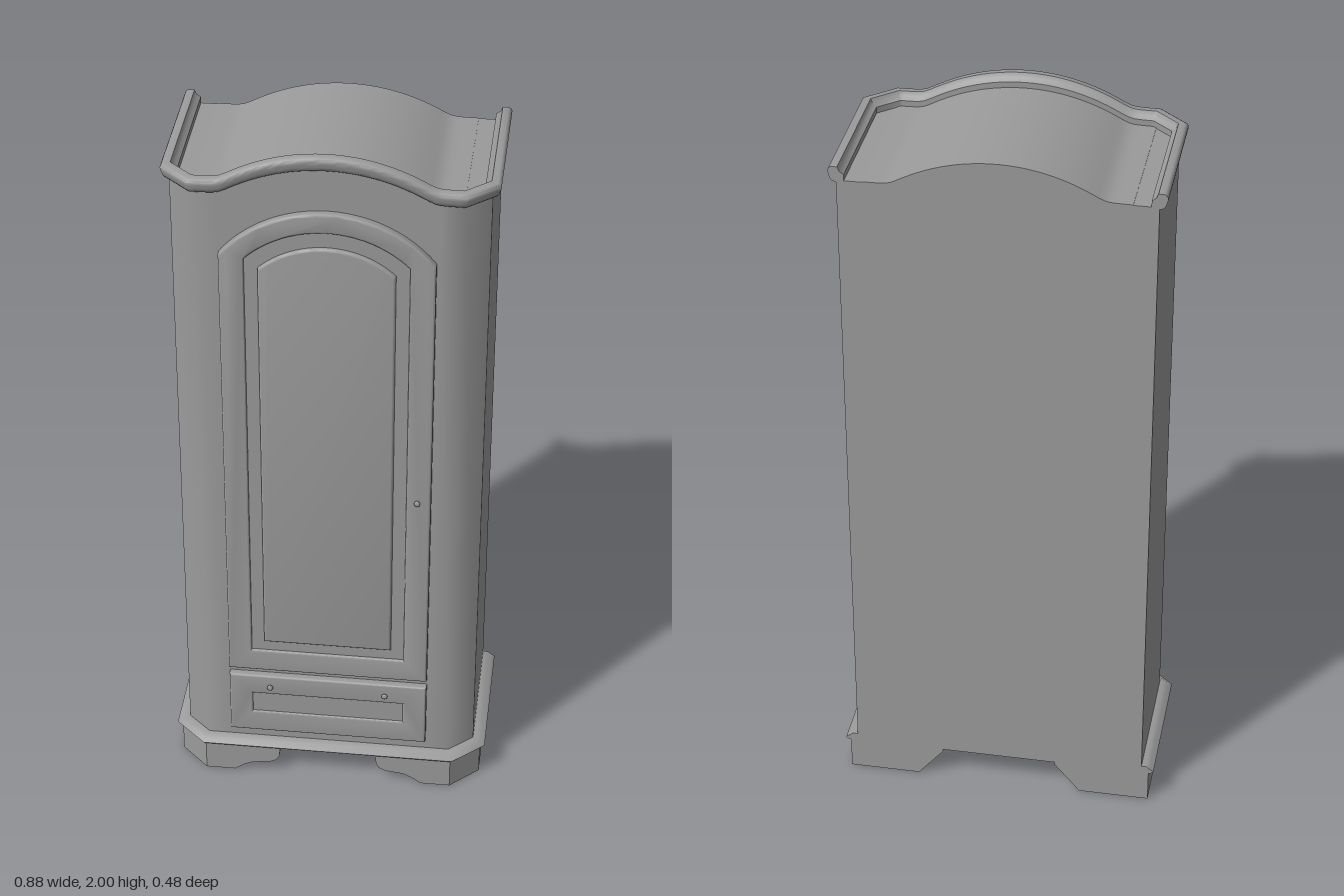
import * as THREE from 'three';
import { toCreasedNormals } from 'three/addons/utils/BufferGeometryUtils.js';

const BACK = -0.24;
const material = new THREE.MeshStandardMaterial({ color: 0x9b9b9b });

function addMesh(parent, name, geometry, crease = 0.6) {
  const mesh = new THREE.Mesh(toCreasedNormals(geometry, crease), material);
  mesh.name = name;
  parent.add(mesh);
  return mesh;
}

// Height of the bonnet arch above the level sides
const ARCH_R = 0.496;
function lift(x) {
  const a = Math.sqrt(Math.max(0, ARCH_R * ARCH_R - x * x)) - ARCH_R + 0.08;
  return (a + Math.sqrt(a * a + 0.00008)) / 2;
}

// Plan outline with chamfered front corners: left back, round the front, right back
function outline(sideX, sideZ, frontX, frontZ, frontXs) {
  return [
    [-sideX, BACK], [-sideX, sideZ], [-frontX, frontZ],
    ...frontXs.map((x) => [x, frontZ]),
    [frontX, frontZ], [sideX, sideZ], [sideX, BACK],
  ];
}

// Sweep a closed profile [outward, y] along a plan outline, mitred, with end caps
function sweep(path, profileAt) {
  const normals = path.slice(1).map(([x, z], i) => {
    const dx = x - path[i][0], dz = z - path[i][1], l = Math.hypot(dx, dz);
    return [-dz / l, dx / l];
  });
  const pos = [], index = [];
  let n = 0, cap;
  path.forEach(([x, z], i) => {
    const a = normals[Math.max(0, i - 1)];
    const b = normals[Math.min(normals.length - 1, i)];
    const k = 1 + a[0] * b[0] + a[1] * b[1];
    const profile = profileAt(x);
    n = profile.length;
    if (i === 0) {
      cap = THREE.ShapeUtils.triangulateShape(profile.map((p) => new THREE.Vector2(...p)), []);
    }
    for (const [o, y] of profile) pos.push(x + (o * (a[0] + b[0])) / k, y, z + (o * (a[1] + b[1])) / k);
  });
  const last = (path.length - 1) * n;
  for (let r = 0; r < last; r += n) {
    for (let j = 0; j < n; j++) {
      const k = (j + 1) % n;
      index.push(r + j, r + n + j, r + n + k, r + j, r + n + k, r + k);
    }
  }
  for (const [a, b, c] of cap) index.push(a, b, c, last + a, last + c, last + b);
  const g = new THREE.BufferGeometry();
  g.setAttribute('position', new THREE.Float32BufferAttribute(pos, 3));
  g.setIndex(index);
  return g;
}

function polygon(points) {
  return new THREE.Shape(points.map((p) => new THREE.Vector2(...p)));
}

// Rectangle with a round-arched head, all arches sharing one centre
function archShape(halfW, bottom, top) {
  const cy = 1.492, r = top - cy, a = Math.acos(halfW / r);
  const pts = [[-halfW, bottom], [halfW, bottom]];
  for (let i = 0; i <= 24; i++) {
    const t = a + ((Math.PI - 2 * a) * i) / 24;
    pts.push([r * Math.cos(t), cy + r * Math.sin(t)]);
  }
  return polygon(pts);
}

function rectShape(w, y0, y1) {
  return polygon([[-w, y0], [w, y0], [w, y1], [-w, y1]]);
}

// Board lying between two depths with a softly bevelled front edge
function board(shape, z0, z1, bevel) {
  const g = new THREE.ExtrudeGeometry(shape, {
    depth: z1 - z0 - bevel, bevelEnabled: bevel > 0, bevelSize: bevel,
    bevelOffset: -bevel, bevelThickness: bevel, bevelSegments: 3,
  });
  return g.translate(0, 0, z0);
}

function addKnob(parent, name, x, y) {
  const pts = [[0, 0], [0.003, 0], [0.003, 0.01], [0.008, 0.014], [0.008, 0.018], [0.005, 0.021], [0, 0.022]];
  const g = new THREE.LatheGeometry(pts.map((p) => new THREE.Vector2(...p)), 16);
  g.rotateX(Math.PI / 2);
  addMesh(parent, name, g, 0.9).position.set(x, y, 0.218);
}

export function createModel() {
  const model = new THREE.Group();
  model.name = 'wardrobe';

  // Carcass with chamfered corners that shade softly into the front
  const plan = polygon(outline(0.405, 0.145, 0.34, 0.205, [-0.28, 0.28]).map(([x, z]) => [x, -z]));
  const carcass = new THREE.ExtrudeGeometry(plan, { depth: 1.79, bevelEnabled: false });
  carcass.rotateX(-Math.PI / 2).translate(0, 0.093, 0);
  addMesh(model, 'carcass', carcass, 0.78);

  // Arched roof
  const roofPts = [[-0.34, 1.883], [0.34, 1.883]];
  for (let i = 0; i <= 48; i++) {
    const x = 0.34 - (0.68 * i) / 48;
    roofPts.push([x, 1.884 + lift(x)]);
  }
  addMesh(model, 'roof', board(polygon(roofPts), BACK, 0.205, 0));

  // Crown moulding rising over the arch
  const steps = Array.from({ length: 47 }, (_, i) => -0.34 + (0.68 * (i + 1)) / 48);
  const crown = [
    [-0.02, 1.875], [0, 1.878], [0.01, 1.88], [0.015, 1.886], [0.017, 1.893],
    [0.02, 1.902], [0.021, 1.91], [0.018, 1.916], [0.012, 1.92], [-0.004, 1.92], [-0.009, 1.908], [-0.02, 1.9],
  ];
  const crownPath = outline(0.405, 0.145, 0.34, 0.205, steps);
  addMesh(model, 'crownMoulding', sweep(crownPath, (x) => crown.map(([o, y]) => [o, y + lift(x)])), 0.75);

  // Plinth whose front is cut into two scrolled bracket feet
  const foot = [[0.265, 0], [0.24, 0.018], [0.215, 0.03], [0.165, 0.036], [0.147, 0.045], [0.138, 0.06], [0.135, 0.09]];
  const footXs = [...foot.map((p) => -p[0]), ...foot.map((p) => p[0]).reverse()];
  const plinthPath = outline(0.425, 0.153, 0.347, 0.228, footXs);
  const footY = (x) => (foot.find((p) => p[0] === Math.abs(x)) || [0, 0])[1];
  addMesh(model, 'plinth', sweep(plinthPath, (x) => [
    [-0.02, footY(x)], [0, footY(x)], [0, 0.097], [-0.02, 0.097],
  ]), 0.7);

  // Moulding on top of the plinth
  const rim = [[-0.03, 0.092], [0.004, 0.092], [0.011, 0.095], [0.014, 0.099], [0.011, 0.103], [0.003, 0.107], [-0.006, 0.115], [-0.03, 0.115]];
  addMesh(model, 'plinthMoulding', sweep(outline(0.425, 0.153, 0.347, 0.225, []), () => rim), 0.75);

  // Back feet continuing the back panel
  for (const s of [-1, 1]) {
    const pts = [[0.41, 0], [0.41, 0.095], [0.16, 0.095], [0.16, 0.085], [0.23, 0]].map(([x, y]) => [s * x, y]);
    addMesh(model, s > 0 ? 'leftBackFoot' : 'rightBackFoot', board(polygon(pts), BACK, BACK + 0.02, 0));
  }

  // Arched door: frame, raised panel and knob
  const door = new THREE.Group();
  door.name = 'door';
  const frame = archShape(0.275, 0.37, 1.842);
  frame.holes.push(archShape(0.21, 0.44, 1.787));
  addMesh(door, 'doorFrame', board(frame, 0.2, 0.226, 0.006));
  addMesh(door, 'doorPanel', board(archShape(0.213, 0.437, 1.79), 0.2, 0.219, 0));
  addMesh(door, 'raisedPanel', board(archShape(0.175, 0.475, 1.745), 0.2, 0.23, 0.007));
  addKnob(door, 'doorKnob', 0.24, 0.985);
  model.add(door);

  // Drawer: front with a sunk panel and two knobs
  const drawer = new THREE.Group();
  drawer.name = 'drawer';
  const front = rectShape(0.275, 0.15, 0.348);
  front.holes.push(rectShape(0.21, 0.22, 0.284));
  addMesh(drawer, 'drawerFront', board(front, 0.2, 0.226, 0.006));
  addMesh(drawer, 'drawerPanel', board(rectShape(0.215, 0.215, 0.29), 0.2, 0.221, 0));
  for (const s of [-1, 1]) addKnob(drawer, s > 0 ? 'leftDrawerKnob' : 'rightDrawerKnob', s * 0.16, 0.315);
  model.add(drawer);

  return model;
}
